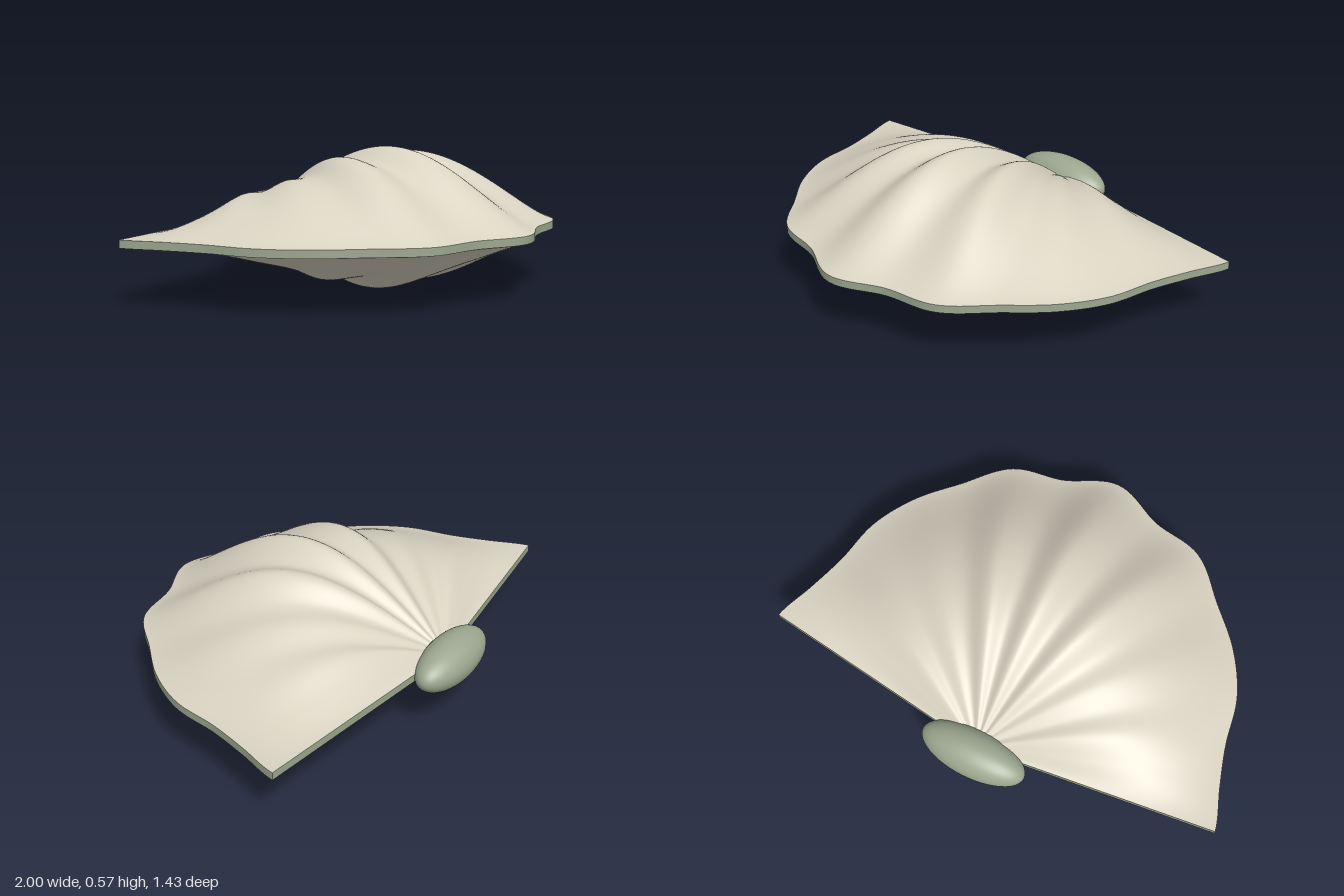
import * as THREE from 'three';

const SPREAD = THREE.MathUtils.degToRad(82.8); // half angle of the fan
const APEX_Z = -0.595;
const MID_Y = 0.25, HALF_RIM = 0.016;
const NA = 160, NR = 48;

// Values at nine even angles from the middle rib to the hinge line, mirrored and smoothed
function acrossFan(values) {
  const all = [...values.slice(1).reverse(), ...values];
  const curve = new THREE.SplineCurve(all.map((v, i) => new THREE.Vector2(i, v)));
  return (u) => curve.getPoint(u).y;
}

const radius = acrossFan([1.31, 1.242, 1.252, 1.176, 1.135, 1.083, 1.008, 0.988, 1.008]);
const upperRise = acrossFan([0.31, 0.25, 0.276, 0.2, 0.183, 0.138, 0.122, 0.062, 0]);
const lowerDrop = acrossFan([0.183, 0.23, 0.167, 0.174, 0.127, 0.1, 0.078, 0.045, 0]);

// Point on the fan: u runs across the angles, t from the apex to the rim
function fanPoint(u, t, y) {
  const a = (u * 2 - 1) * SPREAD;
  const r = radius(u) * t;
  return [Math.sin(a) * r, y, APEX_Z + Math.cos(a) * r];
}

// Grid of points joined into a smooth surface
function gridSurface(rows, cols, point, flip) {
  const pos = [], index = [];
  for (let i = 0; i <= rows; i++) {
    for (let j = 0; j <= cols; j++) pos.push(...point(i / rows, j / cols));
  }
  for (let i = 0; i < rows; i++) {
    for (let j = 0; j < cols; j++) {
      const a = i * (cols + 1) + j, b = a + cols + 1;
      if (flip) index.push(a, a + 1, b, b, a + 1, b + 1);
      else index.push(a, b, a + 1, b, b + 1, a + 1);
    }
  }
  const g = new THREE.BufferGeometry();
  g.setAttribute('position', new THREE.Float32BufferAttribute(pos, 3));
  g.setIndex(index);
  g.computeVertexNormals();
  return g;
}

// One domed, ribbed half of the shell
function valveGeometry(side, height) {
  return gridSurface(NR, NA, (t, u) => {
    const dome = Math.pow(Math.max(0, Math.sin(Math.PI * t)), 1.08 + 0.17 * t);
    return fanPoint(u, t, MID_Y + side * (HALF_RIM + height(u) * dome));
  }, side < 0);
}

export function createModel() {
  const group = new THREE.Group();
  const shellMat = new THREE.MeshStandardMaterial({ color: 0xd8d2c1, side: THREE.DoubleSide });
  shellMat.name = 'shell cream';
  const greenMat = new THREE.MeshStandardMaterial({ color: 0x9ca790, side: THREE.DoubleSide });
  greenMat.name = 'sage green';

  const add = (name, geometry, material) => {
    const mesh = new THREE.Mesh(geometry, material);
    mesh.name = name;
    group.add(mesh);
    return mesh;
  };

  add('upperValve', valveGeometry(1, upperRise), shellMat);
  add('lowerValve', valveGeometry(-1, lowerDrop), shellMat);

  // Band closing the wavy front rim
  const bandY = (v) => MID_Y + HALF_RIM * (1 - 2 * v);
  add('rimBand', gridSurface(1, NA, (v, u) => fanPoint(u, 1, bandY(v)), false), greenMat);

  // Straight bands along the hinge line
  for (const u of [0, 1]) {
    add(u ? 'leftHingeBand' : 'rightHingeBand',
      gridSurface(1, 8, (v, t) => fanPoint(u, t, bandY(v)), u === 1), greenMat);
  }

  // Rounded hinge knob at the back
  const knob = add('hingeKnob', new THREE.SphereGeometry(1, 48, 32), greenMat);
  knob.scale.set(0.23, 0.095, 0.1);
  knob.position.set(0, MID_Y, -0.618);

  return group;
}
